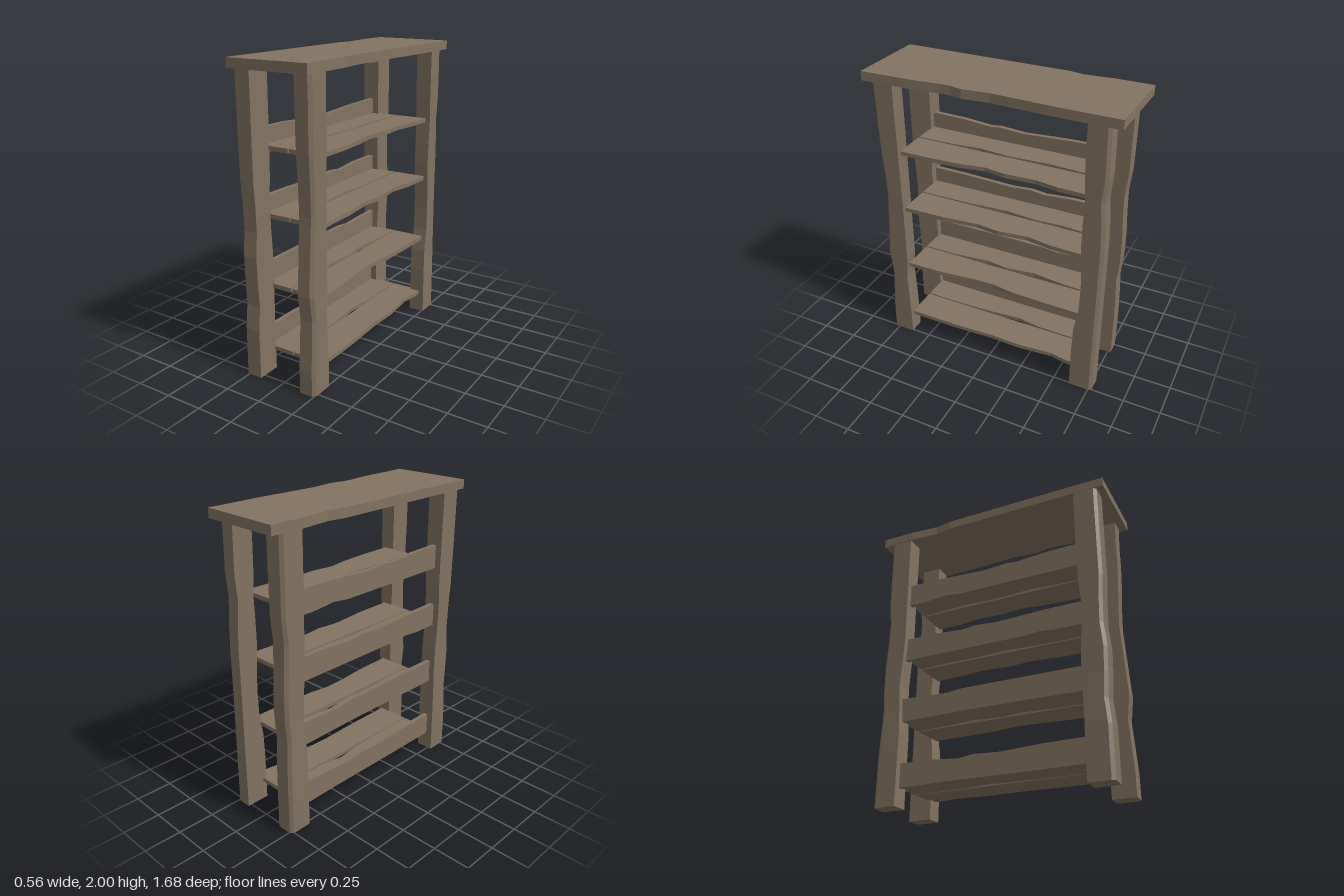
import * as THREE from 'three';

export function createModel() {
  const root = new THREE.Group();
  const wood = new THREE.MeshStandardMaterial({ color: 0x837360, flatShading: true });
  wood.name = 'weathered wood';

  const add = (name, geometry, parent = root) => {
    const mesh = new THREE.Mesh(geometry, wood);
    mesh.name = name;
    parent.add(mesh);
    return mesh;
  };

  // Extrudes an outline of [a, b] points
  const extrude = (points, depth, steps = 1) => new THREE.ExtrudeGeometry(
    new THREE.Shape(points.map(([a, b]) => new THREE.Vector2(a, b))),
    { depth, steps, bevelEnabled: false });

  // Horizontal slab from an [x, z] outline, between heights y and y + thickness
  const slab = (points, y, thickness, steps) => extrude(points.map(([x, z]) => [x, -z]), thickness, steps)
    .rotateX(-Math.PI / 2).translate(0, y, 0);

  // Table top with worn long edges
  add('top', slab([
    [-0.28, 0.838], [0.28, 0.838], [0.27, 0.45], [0.252, 0.3], [0.252, 0.23], [0.27, 0.15],
    [0.252, -0.03], [0.27, -0.45], [0.272, -0.832], [-0.28, -0.84], [-0.28, -0.6], [-0.262, -0.41], [-0.28, -0.3],
  ], 1.94, 0.06));

  // Legs: a post with one chamfered outer corner; inner and outer z faces wander with height
  const STEPS = 12, LEG_H = 1.94;
  const legs = [
    { name: 'frontLeftLeg', x: [0.15, 0.258], z: [0.635, 0.79],
      inner: [0, 0, 0.005, 0.012, 0, 0, 0, 0, 0, 0, 0, 0, 0],
      outer: [0, 0, -0.01, -0.02, 0, -0.01, -0.02, -0.03, -0.025, -0.015, -0.01, -0.01, -0.005] },
    { name: 'frontRightLeg', x: [-0.156, -0.278], z: [0.632, 0.79],
      inner: [0, 0, 0, 0, -0.005, 0, 0.01, 0.015, 0.005, 0, 0, 0, 0],
      outer: [0, 0, 0, -0.015, -0.005, 0, -0.015, -0.01, 0, 0, 0, 0, 0] },
    { name: 'backLeftLeg', x: [0.15, 0.26], z: [-0.615, -0.775],
      inner: [0, 0, 0, -0.005, -0.03, -0.035, -0.03, -0.018, -0.02, -0.025, -0.015, -0.012, -0.012],
      outer: [0, 0, 0, 0, 0, 0, 0, 0, 0.005, 0.018, 0.005, 0.008, 0.012] },
    { name: 'backRightLeg', x: [-0.156, -0.275], z: [-0.618, -0.772],
      inner: [0, 0, 0, 0, -0.01, -0.02, -0.01, 0, 0, 0, 0, 0, 0],
      outer: [0, 0, 0, 0.005, 0.012, 0, 0, 0.01, 0.015, 0, 0, 0, 0] },
  ];
  for (const { name, x: [xi, xo], z: [zi, zo], inner, outer } of legs) {
    const sx = Math.sign(xo), sz = Math.sign(zo);
    const g = slab([[xi, zi], [xo, zi], [xo, zo - sz * 0.02], [xo - sx * 0.018, zo], [xi, zo]], 0, LEG_H, STEPS);
    const p = g.attributes.position, middle = Math.abs(zi + zo) / 2;
    for (let i = 0; i < p.count; i++) {
      const k = Math.round(p.getY(i) / LEG_H * STEPS);
      const isOuter = Math.abs(p.getZ(i)) > middle;
      p.setZ(i, p.getZ(i) + (isOuter ? outer : inner)[k]);
      // slight bow of the outside face
      if (Math.abs(p.getX(i)) > 0.2) p.setX(i, p.getX(i) - sx * 0.008 * Math.sin(Math.PI * k / STEPS) ** 2);
    }
    g.computeVertexNormals();
    add(name, g);
  }

  // Shelves of two planks each, with a rear board above each; edges are [z, inset] and [z, y] points
  const END = 0.64;
  const levels = [
    { y: 0.13, edge: [[0.3, 0], [0, 0.012], [-0.2, 0.004], [-0.45, 0.025], [-0.55, 0.006]],
      gap: [[0.35, 0], [0.1, 0.012], [-0.1, 0.03], [-0.25, 0.004]],
      low: 0.122, high: 0.28, top: [[0.35, 0.277], [0.08, 0.264], [-0.1, 0.274], [-0.2, 0.26], [-0.4, 0.276]],
      bottom: [[-0.3, 0.125], [0.2, 0.122]] },
    { y: 0.565, edge: [[0.4, 0.004], [0.15, 0.03], [0, 0.035], [-0.15, 0.012], [-0.4, 0.002]],
      gap: [[0.4, 0.004], [0.15, 0.03], [0, 0.008], [-0.2, 0.035], [-0.4, 0.01]],
      low: 0.56, high: 0.72, top: [[0.1, 0.72], [-0.2, 0.719], [-0.3, 0.707], [-0.45, 0.714]],
      bottom: [[-0.2, 0.566], [0.3, 0.564]] },
    { y: 1.023, edge: [[0.35, 0.006], [0.1, 0.03], [-0.05, 0.012], [-0.25, 0.035], [-0.42, 0.008]],
      gap: [[0.3, 0.006], [0, 0.025], [-0.2, 0.006], [-0.4, 0.015]],
      low: 0.998, high: 1.155, top: [[0.4, 1.153], [0.05, 1.141], [-0.1, 1.152], [-0.2, 1.14], [-0.4, 1.155]],
      bottom: [[-0.3, 0.998], [0.24, 0.998], [0.35, 1.008], [0.45, 0.998]] },
    { y: 1.446, edge: [[0.4, 0.002], [0.2, 0.015], [0.05, 0.04], [-0.1, 0.018], [-0.3, 0.03], [-0.45, 0.006]],
      gap: [[0.4, 0.006], [0.2, 0.025], [0, 0.006], [-0.3, 0.02]],
      low: 1.42, high: 1.58, top: [[0.4, 1.576], [0.2, 1.56], [0.13, 1.568], [-0.04, 1.557], [-0.35, 1.574]],
      bottom: [[-0.5, 1.42], [-0.34, 1.434], [-0.22, 1.42]] },
  ];
  levels.forEach(({ y, edge, gap, low, high, top, bottom }, i) => {
    const shelf = new THREE.Group();
    shelf.name = `shelf${i + 1}`;
    root.add(shelf);
    // open-side plank, worn on its free edge
    add('frontPlank', slab([
      [-0.005, END], [0.222, END], ...edge.map(([z, d]) => [0.222 - d, z]), [0.222, -END], [-0.002, -END],
    ], y, 0.028), shelf);
    // rear plank, worn along the split
    add('rearPlank', slab([
      [-0.2, END], [-0.015, END], ...gap.map(([z, d]) => [-0.014 - d, z]), [-0.012, -END], [-0.2, -END],
    ], y, 0.028), shelf);
    // upright board behind the shelf
    add('backBoard', extrude([
      [-END, low], ...bottom, [END, low], [END, high], ...top, [-END, high],
    ], 0.03).rotateY(-Math.PI / 2).translate(-0.2, 0, 0), shelf);
  });

  return root;
}
